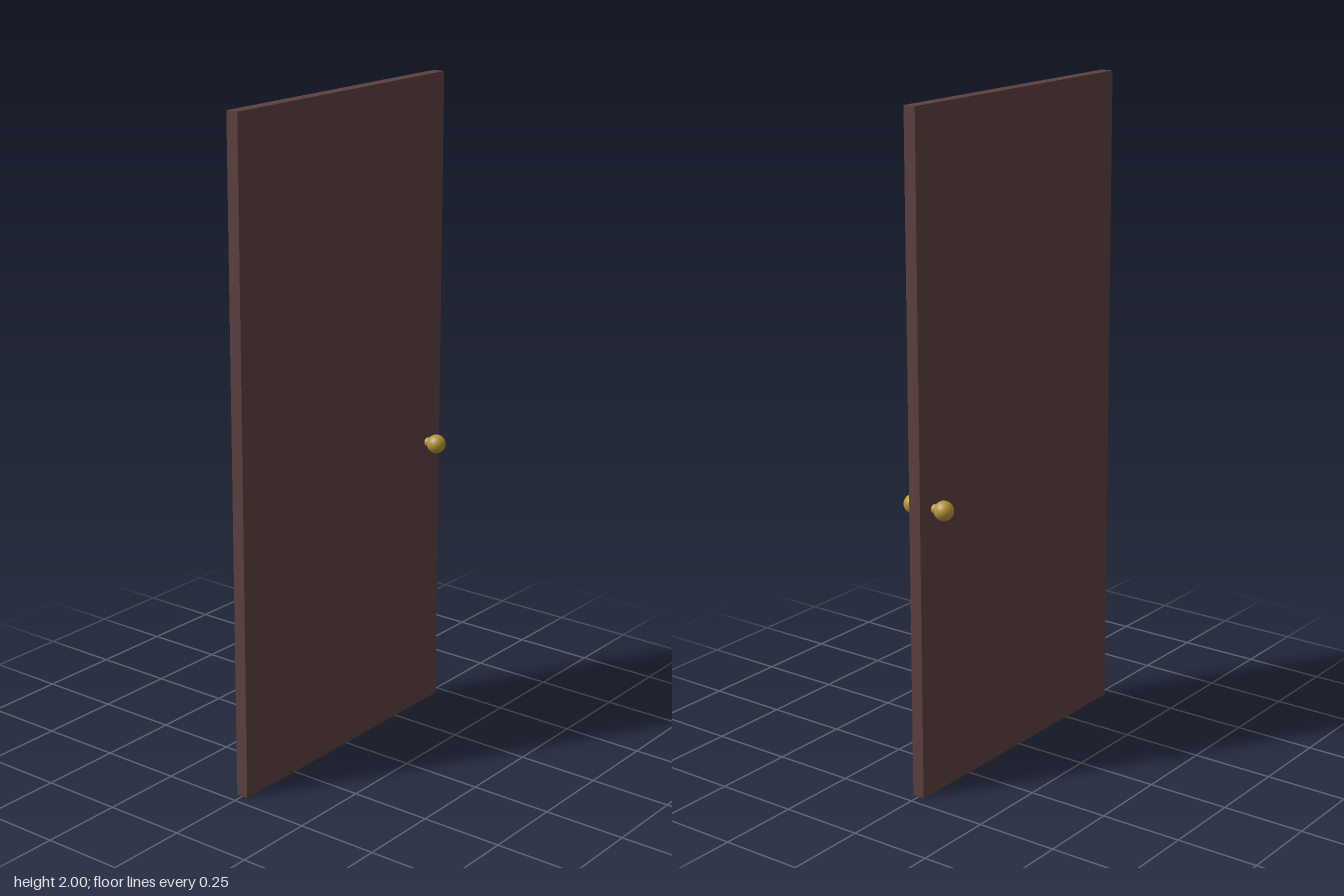
import * as THREE from 'three';

export function createModel() {
  const model = new THREE.Group();
  const wood = new THREE.MeshStandardMaterial({ color: 0x5d4040 });
  const brass = new THREE.MeshStandardMaterial({ color: 0xb5943a });

  // Plain door slab
  const panel = new THREE.Mesh(new THREE.BoxGeometry(0.934, 2, 0.038), wood);
  panel.name = 'doorPanel';
  panel.position.y = 1;
  model.add(panel);

  // A round knob on a short stem, on each face
  for (const side of [1, -1]) {
    const handle = new THREE.Group();
    handle.name = side > 0 ? 'frontHandle' : 'backHandle';
    handle.position.set(0.404, 0.867, 0);

    const stem = new THREE.Mesh(new THREE.CylinderGeometry(0.014, 0.014, 0.04, 24), brass);
    stem.name = 'knobStem';
    stem.rotation.x = Math.PI / 2;
    stem.position.z = side * 0.03;

    const knob = new THREE.Mesh(new THREE.SphereGeometry(0.029, 32, 20), brass);
    knob.name = 'knob';
    knob.position.z = side * 0.054;

    handle.add(stem, knob);
    model.add(handle);
  }
  return model;
}
